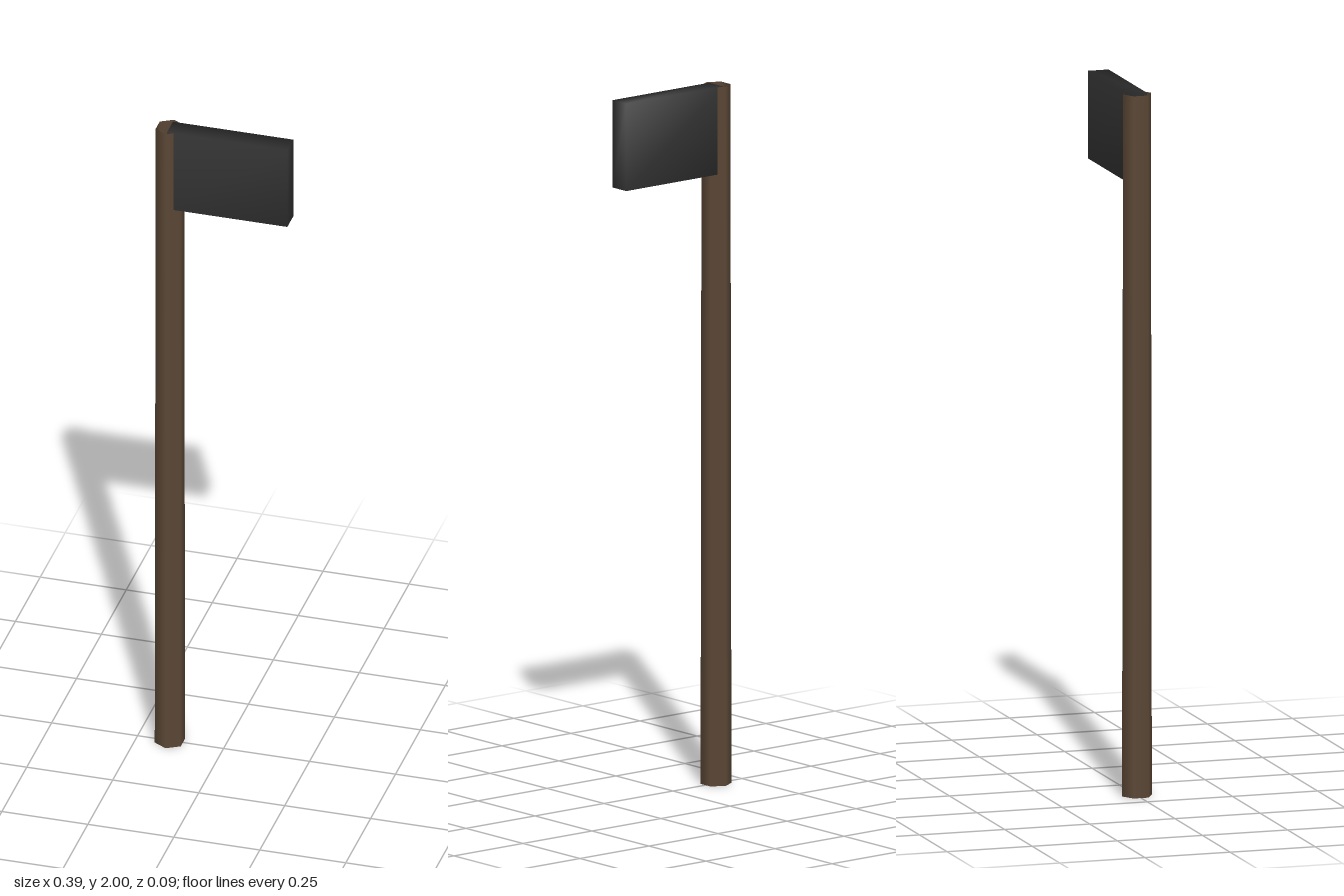
import * as THREE from 'three';
import { mergeVertices } from 'three/addons/utils/BufferGeometryUtils.js';

const wood = new THREE.MeshStandardMaterial({ name: 'brown wood', color: 0x5c4836, side: THREE.DoubleSide });
const cloth = new THREE.MeshStandardMaterial({ name: 'charcoal cloth', color: 0x333333 });

// Box whose corners share normals, for soft shading
function softBox(w, h, d) {
  const box = new THREE.BoxGeometry(w, h, d);
  box.deleteAttribute('normal');
  box.deleteAttribute('uv');
  const geometry = mergeVertices(box);
  geometry.computeVertexNormals();
  return geometry;
}

export function createModel() {
  const model = new THREE.Group();
  model.name = 'flagOnPole';

  // Slightly tapered hexagonal pole, open at both ends
  const pole = new THREE.Mesh(new THREE.CylinderGeometry(0.041, 0.0437, 2, 6, 1, true), wood);
  pole.name = 'pole';
  pole.position.set(-0.156, 1, 0);

  // Rectangular flag, starting at the pole's axis
  const flag = new THREE.Mesh(softBox(0.35, 0.25, 0.06), cloth);
  flag.name = 'flag';
  flag.position.set(0.019, 1.875, 0);

  model.add(pole, flag);
  return model;
}
